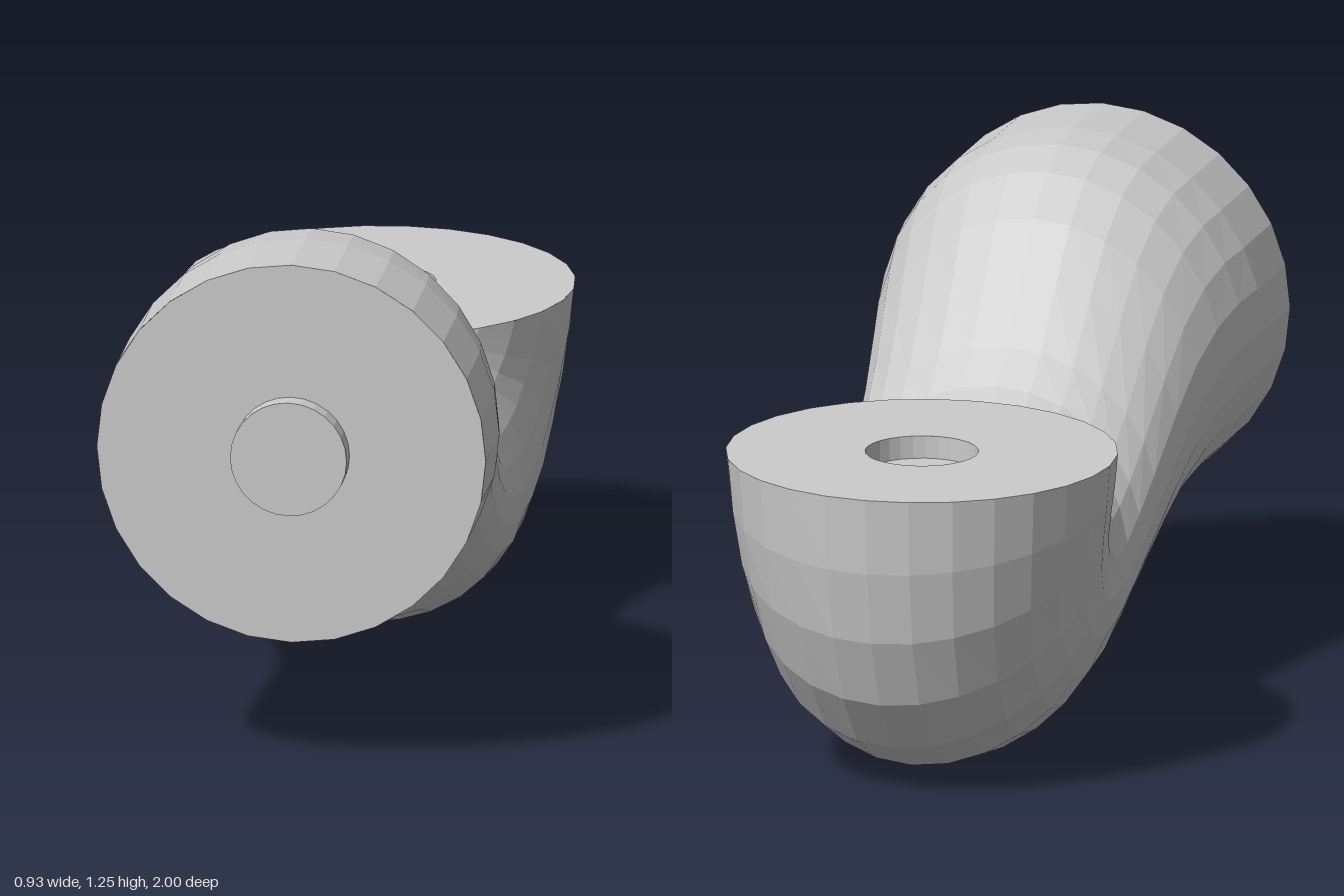
import * as THREE from 'three';

const SIDES = 28, R = 0.467, PIN_R = 0.14, SOCKET_R = 0.135, AXIS_Y = 0.788, AXIS_Z = -0.534, TOP = 0.787;

// Elliptical sections: upper edge z, y; lower edge z, y; half width
const SECTIONS = [
  [0.95, 1.255, 0.95, 0.323, R],
  [0.72, 1.255, 0.72, 0.323, R],
  [0.60, 1.245, 0.64, 0.315, 0.452],
  [0.49, 1.205, 0.53, 0.290, 0.432],
  [0.38, 1.120, 0.42, 0.258, 0.412],
  [0.28, 1.000, 0.28, 0.207, 0.396],
  [0.16, 0.860, 0.10, 0.142, 0.385],
  [0.08, 0.785, -0.06, 0.083, 0.381],
  [0.03, 0.757, -0.25, 0.025, 0.383],
  [0.00, 0.752, -0.45, 0.005, 0.39],
  [-0.02, 0.755, -0.62, 0.035, 0.40],
  [-0.035, 0.760, -0.77, 0.115, 0.412],
  [-0.045, 0.766, -0.88, 0.250, 0.425],
  [-0.055, 0.773, -0.95, 0.420, 0.442],
  [-0.062, 0.779, -0.985, 0.600, 0.457],
  [-0.067, TOP, -1.0, TOP, R],
];

// Skin stretched over the sections
function loft(sections) {
  const pos = [], index = [];
  sections.forEach(([tz, ty, bz, by, w], i) => {
    for (let j = 0; j < SIDES; j++) {
      const a = (j / SIDES) * Math.PI * 2, c = Math.cos(a) / 2;
      pos.push(w * Math.sin(a), (ty + by) / 2 + (ty - by) * c, (tz + bz) / 2 + (tz - bz) * c);
      if (i === sections.length - 1) continue;
      const p = i * SIDES + j, q = i * SIDES + (j + 1) % SIDES;
      index.push(p, q, p + SIDES, q, q + SIDES, p + SIDES);
    }
  });
  const g = new THREE.BufferGeometry();
  g.setAttribute('position', new THREE.Float32BufferAttribute(pos, 3));
  g.setIndex(index);
  g.computeVertexNormals();
  return g;
}

export function createModel() {
  const group = new THREE.Group();
  const flat = new THREE.MeshStandardMaterial({ color: 0xcccccc, flatShading: true });
  const inside = new THREE.MeshStandardMaterial({ color: 0xcccccc, flatShading: true, side: THREE.DoubleSide });

  const add = (name, geometry, material = flat) => {
    const mesh = new THREE.Mesh(geometry, material);
    mesh.name = name;
    group.add(mesh);
  };

  // Bent body with its straight collar
  add('elbowBody', loft(SECTIONS));

  // Front joint face and its pin
  add('frontFace', new THREE.CircleGeometry(R, SIDES).translate(0, AXIS_Y, 0.95));
  add('frontPin', new THREE.CylinderGeometry(PIN_R, PIN_R, 0.06, SIDES)
    .rotateX(Math.PI / 2).translate(0, AXIS_Y, 0.97));

  // Top joint face with a shallow round socket
  const depth = 0.055;
  add('topFace', new THREE.RingGeometry(SOCKET_R, R, SIDES, 1)
    .rotateX(-Math.PI / 2).translate(0, TOP, AXIS_Z));
  add('socketWall', new THREE.CylinderGeometry(SOCKET_R, SOCKET_R, depth, SIDES, 1, true)
    .translate(0, TOP - depth / 2, AXIS_Z), inside);
  add('socketFloor', new THREE.CircleGeometry(SOCKET_R, SIDES)
    .rotateX(-Math.PI / 2).translate(0, TOP - depth, AXIS_Z));

  return group;
}
